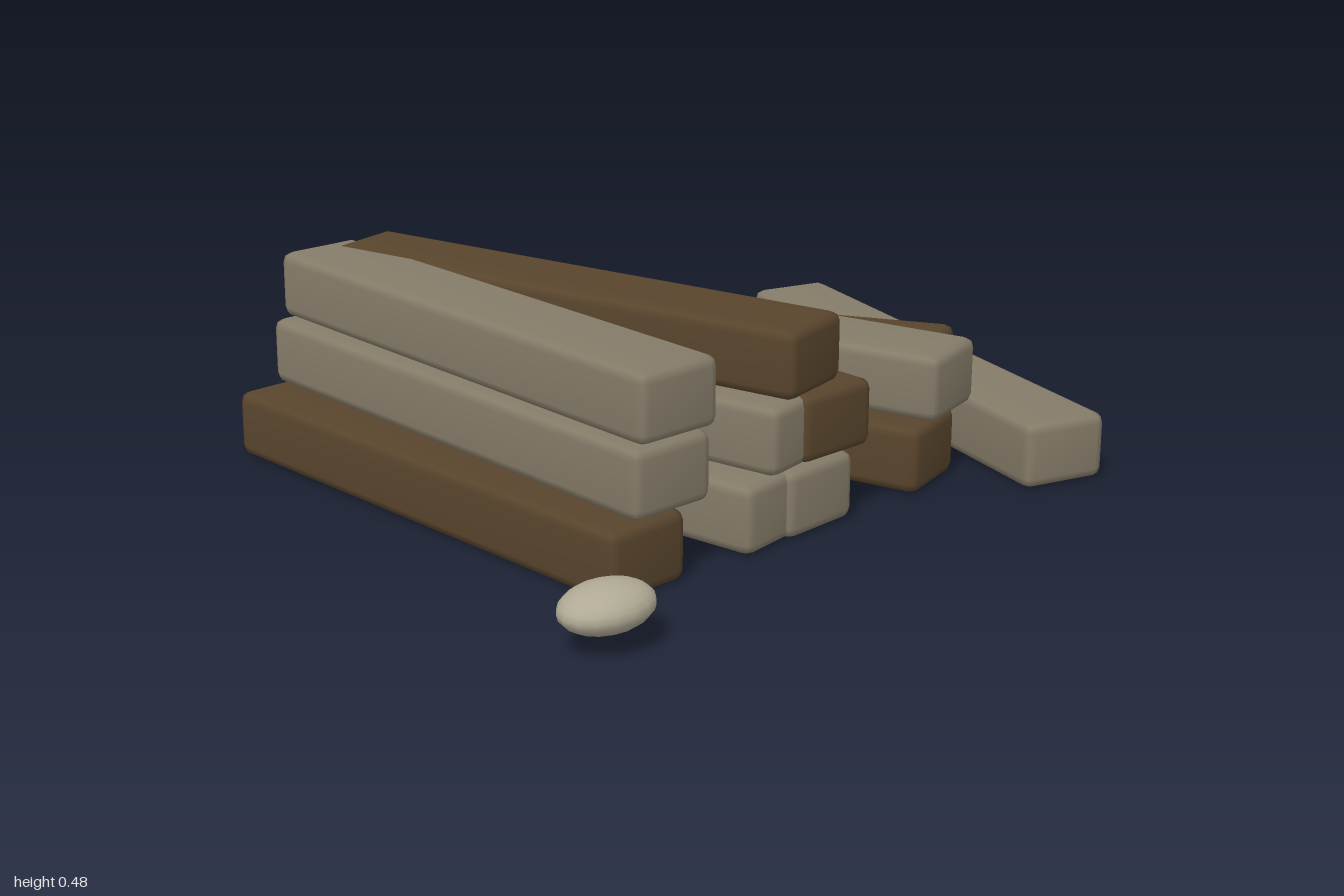
import * as THREE from 'three';
import { RoundedBoxGeometry } from 'three/addons/geometries/RoundedBoxGeometry.js';
import { mergeVertices } from 'three/addons/utils/BufferGeometryUtils.js';

const W = 0.22, H = 0.16, L = 1.31;

// Squared timber with softened edges, lying along z
function beamGeometry() {
  const rounded = new RoundedBoxGeometry(W, H, L, 1, 0.025);
  rounded.deleteAttribute('uv');
  rounded.deleteAttribute('normal');
  const geometry = mergeVertices(rounded, 1e-4);
  geometry.computeVertexNormals();
  return geometry;
}

export function createModel() {
  const group = new THREE.Group();
  const greyWood = new THREE.MeshStandardMaterial({ color: 0x857c69 });
  greyWood.name = 'weatheredGreyWood';
  const brownWood = new THREE.MeshStandardMaterial({ color: 0x59452d });
  brownWood.name = 'darkBrownWood';
  const stone = new THREE.MeshStandardMaterial({ color: 0xb0aa95 });
  stone.name = 'paleStone';

  // name, material, centre x, centre y, centre z, turn about y
  const beams = [
    // bottom layer
    ['bottomBeam1', brownWood, -0.65, 0.08, 0.045, 0.015],
    ['bottomBeam2', greyWood, -0.34, 0.08, 0.045, 0.14],
    ['bottomBeam3', greyWood, -0.142, 0.081, 0.045, 0.042],
    ['bottomBeam4', brownWood, 0.125, 0.08, 0.045, 0.27],
    // middle layer
    ['middleBeam1', greyWood, -0.56, 0.24, 0.045, -0.015],
    ['middleBeam2', greyWood, -0.29, 0.24, 0.045, 0.18],
    ['middleBeam3', brownWood, -0.058, 0.242, 0.045, -0.012],
    ['middleBeam4', greyWood, 0.197, 0.24, 0.045, 0.25],
    // top layer
    ['topBeam1', greyWood, -0.535, 0.4, 0.045, -0.025],
    ['topBeam2', brownWood, -0.265, 0.401, 0.045, 0.22],
    // loose beams beside the stack
    ['looseGreyBeam', greyWood, 0.703, 0.08, 0.264, -0.293],
    ['looseBrownBeam', brownWood, 0.522, 0.082, -0.314, 0.505],
  ];
  const geometry = beamGeometry();
  for (const [name, material, x, y, z, turn] of beams) {
    const beam = new THREE.Mesh(geometry, material);
    beam.name = name;
    beam.position.set(x, y, z);
    beam.rotation.y = turn;
    group.add(beam);
  }

  // Flattened pebble
  const pebble = new THREE.Mesh(new THREE.SphereGeometry(1, 16, 12), stone);
  pebble.name = 'pebble';
  pebble.scale.set(0.112, 0.05, 0.083);
  pebble.position.set(-0.888, 0.09, 0.838);
  group.add(pebble);

  return group;
}
